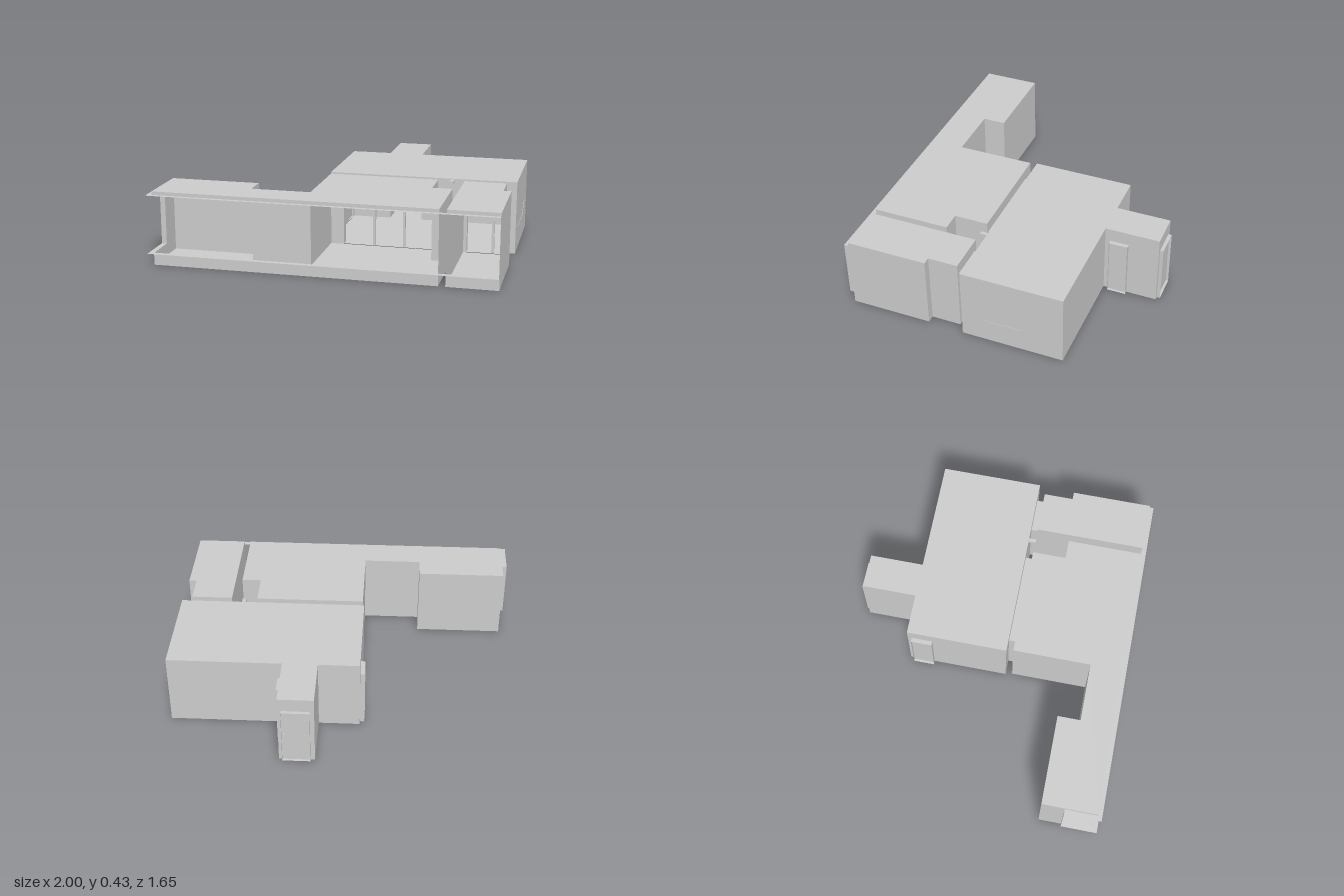
import * as THREE from 'three';

const mat = new THREE.MeshStandardMaterial({ color: 0xcccccc, side: THREE.DoubleSide });
const H = 0.43, SILL = 0.07, HEAD = 0.41;

function add(parent, name, geo) {
  const m = new THREE.Mesh(geo, mat);
  m.name = name;
  parent.add(m);
  return m;
}

// Upright axis-aligned sheet between two plan points [x, z]
function sheet(parent, name, a, b, y0, y1) {
  const len = Math.hypot(b[0] - a[0], b[1] - a[1]);
  if (len < 1e-4 || y1 - y0 < 1e-4) return;
  const geo = new THREE.PlaneGeometry(len, y1 - y0);
  geo.rotateY(-Math.atan2(b[1] - a[1], b[0] - a[0]));
  geo.translate((a[0] + b[0]) / 2, (y0 + y1) / 2, (a[1] + b[1]) / 2);
  add(parent, name, geo);
}

// Level sheet over a plan rectangle
function level(parent, name, x0, x1, z0, z1, y) {
  const geo = new THREE.PlaneGeometry(x1 - x0, z1 - z0).rotateX(-Math.PI / 2);
  geo.translate((x0 + x1) / 2, y, (z0 + z1) / 2);
  add(parent, name, geo);
}

function box(parent, name, x0, x1, y0, y1, z0, z1) {
  const geo = new THREE.BoxGeometry(x1 - x0, y1 - y0, z1 - z0);
  geo.translate((x0 + x1) / 2, (y0 + y1) / 2, (z0 + z1) / 2);
  return add(parent, name, geo);
}

// Room shell: floor, ceiling and thin walls.
// openings[wall index] = list of [from, to, bottom, top], measured along the wall's axis
function room(name, plan, openings) {
  const g = new THREE.Group();
  g.name = name;
  const shape = new THREE.Shape(plan.map(([x, z]) => new THREE.Vector2(x, -z)));
  for (const [part, y] of [['floor', 0], ['ceiling', H]]) {
    add(g, part, new THREE.ShapeGeometry(shape).rotateX(-Math.PI / 2).translate(0, y, 0));
  }
  plan.forEach((p, i) => {
    const q = plan[(i + 1) % plan.length];
    const axis = Math.abs(p[0] - q[0]) > 1e-6 ? 0 : 1;
    const at = t => (axis === 0 ? [t, p[1]] : [p[0], t]);
    const end = Math.max(p[axis], q[axis]);
    let cursor = Math.min(p[axis], q[axis]);
    for (const [u0, u1, v0, v1] of openings[i] || []) {
      sheet(g, 'wall', at(cursor), at(u0), 0, H);
      sheet(g, 'wallBelowOpening', at(u0), at(u1), 0, v0);
      sheet(g, 'wallAboveOpening', at(u0), at(u1), v1, H);
      cursor = u1;
    }
    sheet(g, 'wall', at(cursor), at(end), 0, H);
  });
  return g;
}

// Four-sided lining through a wall; axis says which way one walks through
function lining(parent, axis, x0, x1, z0, z1, top) {
  level(parent, 'threshold', x0, x1, z0, z1, 0.003);
  level(parent, 'lintel', x0, x1, z0, z1, top);
  if (axis === 'z') {
    for (const x of [x0, x1]) sheet(parent, 'jamb', [x, z0], [x, z1], 0, top);
  } else {
    for (const z of [z0, z1]) sheet(parent, 'jamb', [x0, z], [x1, z], 0, top);
  }
}

export function createModel() {
  const model = new THREE.Group();
  model.name = 'apartment';
  const DOOR = 0.35, PASS = 0.365;

  // Long front room with a corner window
  model.add(room('frontRoom', [
    [-0.97, 0.475], [-0.445, 0.475], [-0.445, 0.61], [-0.1, 0.61], [-0.1, 0.15],
    [0.545, 0.15], [0.545, 0.35], [0.66, 0.35], [0.66, 0.8], [-0.97, 0.8],
  ], {
    4: [[-0.02, 0.53, 0, PASS]],
    8: [[-0.97, 0.66, SILL, HEAD]],
    9: [[0.61, 0.8, SILL, HEAD]],
  }));

  // Narrow room beside it
  model.add(room('sideRoom', [
    [0.7, 0.15], [0.945, 0.15], [0.945, 0.325], [0.99, 0.325], [0.99, 0.8], [0.7, 0.8],
  ], {
    0: [[0.72, 0.925, 0, PASS]],
    4: [[0.7, 0.99, SILL, HEAD]],
  }));

  // Large back room with entrance hall
  model.add(room('backRoom', [
    [-0.11, 0.11], [1, 0.11], [1, -0.49], [0.335, -0.49],
    [0.335, -0.81], [0.13, -0.81], [0.13, -0.49], [-0.11, -0.49],
  ], {
    0: [[-0.02, 0.53, 0, PASS], [0.72, 0.925, 0, PASS]],
    3: [[-0.63, -0.52, 0, DOOR]],
    4: [[0.155, 0.315, 0, DOOR]],
    7: [[-0.465, -0.34, 0, DOOR]],
  }));

  // Window ledges and end reveals
  const ledge = new THREE.Group();
  ledge.name = 'windowSurround';
  for (const y of [SILL, HEAD]) {
    level(ledge, 'frontLedge', -1, 0.99, 0.795, 0.825, y);
    level(ledge, 'endLedge', -1, -0.97, 0.61, 0.795, y);
  }
  sheet(ledge, 'endReveal', [-1, 0.61], [-0.97, 0.61], SILL, HEAD);
  sheet(ledge, 'endReveal', [0.99, 0.8], [0.99, 0.825], SILL, HEAD);
  model.add(ledge);

  // Passages between the rooms with their posts
  const passages = new THREE.Group();
  passages.name = 'passages';
  lining(passages, 'z', -0.02, 0.53, 0.11, 0.15, PASS);
  lining(passages, 'z', 0.72, 0.925, 0.11, 0.15, PASS);
  for (const [x0, x1] of [[0.155, 0.17], [0.337, 0.35], [0.865, 0.88]]) {
    box(passages, 'post', x0, x1, 0, PASS, 0.12, 0.14);
  }
  model.add(passages);

  // Outer doors: lining, recessed leaf and handle
  const doors = new THREE.Group();
  doors.name = 'doors';
  lining(doors, 'z', 0.155, 0.315, -0.83, -0.81, DOOR);
  sheet(doors, 'entranceDoor', [0.155, -0.815], [0.315, -0.815], 0, DOOR);
  box(doors, 'doorHandle', 0.295, 0.305, 0.18, 0.19, -0.82, -0.805);
  lining(doors, 'x', 0.335, 0.36, -0.63, -0.52, DOOR);
  sheet(doors, 'hallDoor', [0.345, -0.63], [0.345, -0.52], 0, DOOR);
  lining(doors, 'x', -0.135, -0.11, -0.465, -0.34, DOOR);
  sheet(doors, 'leftDoor', [-0.12, -0.465], [-0.12, -0.34], 0, DOOR);
  model.add(doors);

  // Small bracket high on the back room's front wall
  box(model, 'bracket', 0.613, 0.635, 0.408, 0.425, 0.11, 0.155);

  // Thin rail along the right wall, rising to the back
  box(model, 'levelRail', 0.994, 1.002, 0.132, 0.138, -0.25, 0);
  const rise = add(model, 'slopedRail', new THREE.BoxGeometry(0.008, 0.005, 0.13));
  rise.position.set(0.998, 0.168, -0.312);
  rise.rotation.x = Math.atan2(0.065, 0.115);

  return model;
}
